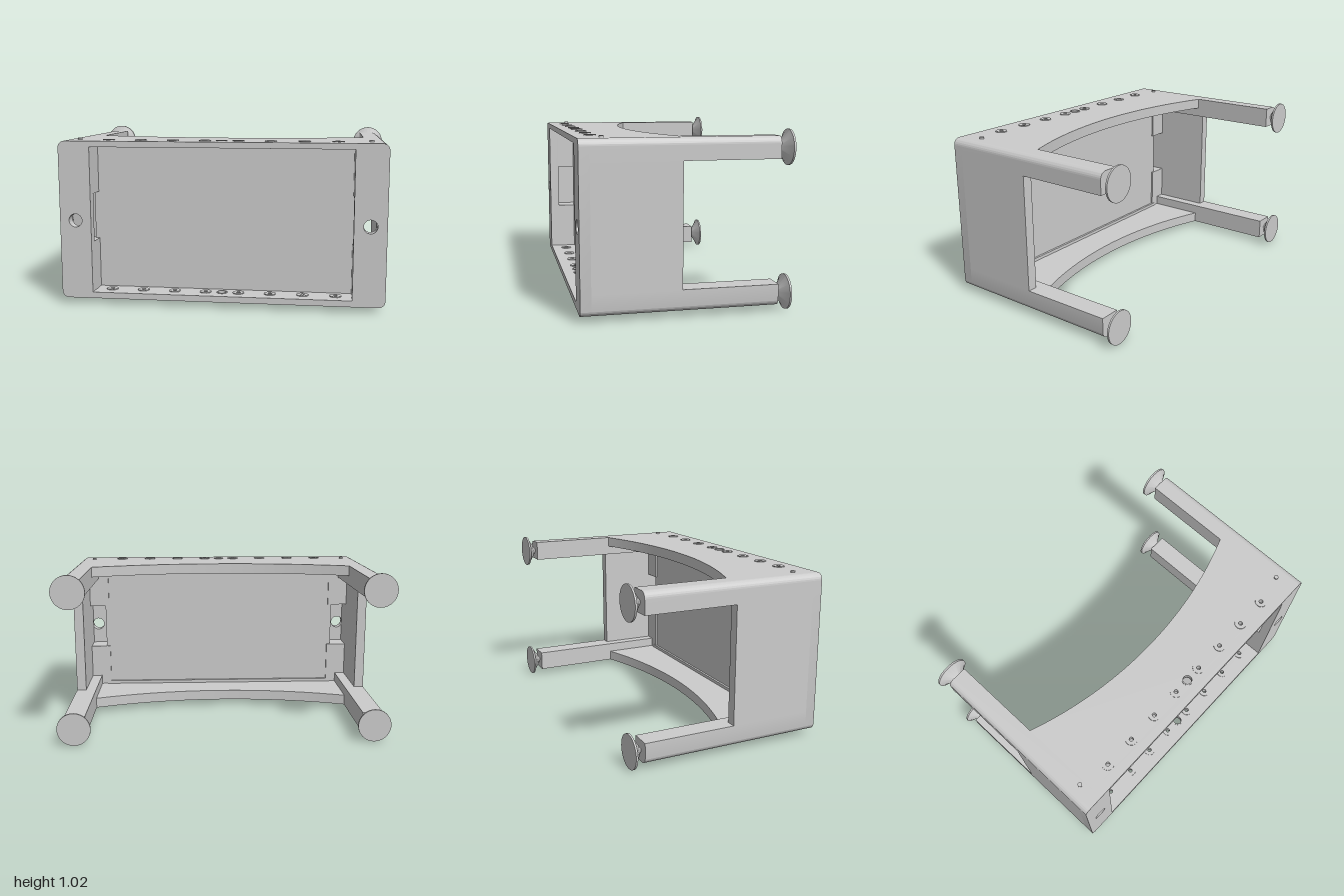
import * as THREE from 'three';
import { toCreasedNormals } from 'three/addons/utils/BufferGeometryUtils.js';

const material = new THREE.MeshStandardMaterial({ color: 0xcccccc });
const W = 0.965, Y0 = 0.04, Y1 = 0.99, MID = 0.515;   // outer half width, bottom, top, mid height
const ARM = 0.125, SKIN = 0.035, FRONT = 0.59, BACK = 0.53;
const BOLTS = [-0.68, -0.485, -0.29, -0.1, 0.1, 0.29, 0.485, 0.68];
const BOLT_Z = 0.49;

export function createModel() {
  const model = new THREE.Group();

  const add = (name, geometry, x = 0, y = 0, z = 0) => {
    const mesh = new THREE.Mesh(toCreasedNormals(geometry, 0.5), material);
    mesh.name = name;
    mesh.position.set(x, y, z);
    model.add(mesh);
    return mesh;
  };
  const box = (name, x0, x1, y0, y1, z0, z1) =>
    add(name, new THREE.BoxGeometry(Math.abs(x1 - x0), y1 - y0, z1 - z0),
      (x0 + x1) / 2, (y0 + y1) / 2, (z0 + z1) / 2);
  const extrude = (shape, depth) =>
    new THREE.ExtrudeGeometry(shape, { depth, bevelEnabled: false, curveSegments: 24 });
  const circle = (x, y, r) => new THREE.Path().absarc(x, y, r, 0, Math.PI * 2, true);

  // Rectangle with a radius for each corner: lower left, lower right, upper right, upper left
  const roundRect = (x0, y0, x1, y1, [a, b, c, d]) => {
    const s = new THREE.Shape();
    s.moveTo(x0 + a, y0).lineTo(x1 - b, y0);
    if (b) s.absarc(x1 - b, y0 + b, b, -Math.PI / 2, 0);
    s.lineTo(x1, y1 - c);
    if (c) s.absarc(x1 - c, y1 - c, c, 0, Math.PI / 2);
    s.lineTo(x0 + d, y1);
    if (d) s.absarc(x0 + d, y1 - d, d, Math.PI / 2, Math.PI);
    s.lineTo(x0, y0 + a);
    if (a) s.absarc(x0 + a, y0 + a, a, Math.PI, Math.PI * 1.5);
    return s;
  };

  // Front frame with the window and two round side holes
  const R = 0.04;
  const frame = roundRect(-W, Y0, W, Y1, [R, R, R, R]);
  frame.holes.push(new THREE.Path([
    [-0.775, 0.077], [-0.775, 0.955], [0.775, 0.955], [0.775, 0.077],
  ].map(p => new THREE.Vector2(...p))));
  frame.holes.push(circle(-0.87, MID, 0.04), circle(0.87, MID, 0.04));
  add('frontFrame', extrude(frame, FRONT - BACK), 0, 0, BACK);

  // Top and bottom plates with a curved rear edge
  const plate = (zFront, thickness, drilled) => {
    const half = W - ARM, radius = 2.427, s = new THREE.Shape();
    s.moveTo(half, zFront).lineTo(-half, zFront);
    for (let i = 0; i <= 40; i++) {
      const x = -half + (2 * half * i) / 40;
      s.lineTo(x, 0.18 - radius + Math.sqrt(radius * radius - x * x));
    }
    if (drilled) {
      s.holes.push(circle(0, BOLT_Z, 0.028));
      BOLTS.forEach(x => s.holes.push(circle(x, BOLT_Z, 0.012)));
    }
    return extrude(s, thickness).rotateX(Math.PI / 2);
  };
  add('topPlate', plate(BACK, SKIN, true), 0, Y1);
  add('bottomPlate', plate(BACK, SKIN, true), 0, Y0 + SKIN);
  add('topLiner', plate(0.4, 0.03, false), 0, Y1 - SKIN);
  add('bottomLiner', plate(0.4, 0.03, false), 0, Y0 + SKIN + 0.03);

  // Washers on both faces of each plate, and a rim around the middle hole
  const ring = (outer, inner, h) => {
    const s = new THREE.Shape().absarc(0, 0, outer, 0, Math.PI * 2);
    s.holes.push(circle(0, 0, inner));
    return extrude(s, h).rotateX(Math.PI / 2);
  };
  for (const y of [Y0, Y0 + SKIN, Y1 - SKIN, Y1]) {
    for (const x of BOLTS) add('washer', ring(0.035, 0.012, 0.01), x, y + 0.005, BOLT_Z);
    add('middleHoleRim', ring(0.033, 0.026, 0.008), 0, y + 0.004, BOLT_Z);
  }

  // Panel closing the window, with rails behind it
  box('backPanel', -0.8, 0.8, 0.07, 0.96, 0.4, 0.42);
  box('lowerRail', -0.8, 0.8, 0.1, 0.125, 0.385, 0.4);
  box('upperRail', -0.8, 0.8, 0.905, 0.93, 0.385, 0.4);

  // Suction cup profile
  const cup = new THREE.LatheGeometry([
    [0, 0], [0.012, 0], [0.092, 0.056], [0.1, 0.057], [0.1, 0.068], [0, 0.068],
  ].map(p => new THREE.Vector2(...p)), 48).rotateX(-Math.PI / 2);

  for (const side of [-1, 1]) {
    box('sideWall', side * 0.905, side * W, Y0 + ARM, Y1 - ARM, 0.03, BACK);

    for (const up of [-1, 1]) {
      // Arm running the full depth, rounded on its outer corner
      const x0 = side > 0 ? W - ARM : -W, y0 = up > 0 ? Y1 - ARM : Y0;
      const radii = [
        side < 0 && up < 0, side > 0 && up < 0, side > 0 && up > 0, side < 0 && up > 0,
      ].map(rounded => (rounded ? R : 0));
      add('arm', extrude(roundRect(x0, y0, x0 + ARM, y0 + ARM, radii), BACK + 0.52), 0, 0, -0.52);

      // Inner block beside the window, leaving a slot at mid height
      const [b0, b1] = up > 0 ? [0.67, 0.957] : [0.073, 0.38];
      box('sideBlock', side * 0.775, side * 0.907, b0, b1, 0.39, BACK);

      add('suctionCup', cup, side * 0.9, MID + up * 0.41, -0.52);
      add('pin', new THREE.CylinderGeometry(0.013, 0.013, 0.02, 20),
        side * 0.87, up > 0 ? Y1 : Y0, 0.455);
    }
  }
  return model;
}
